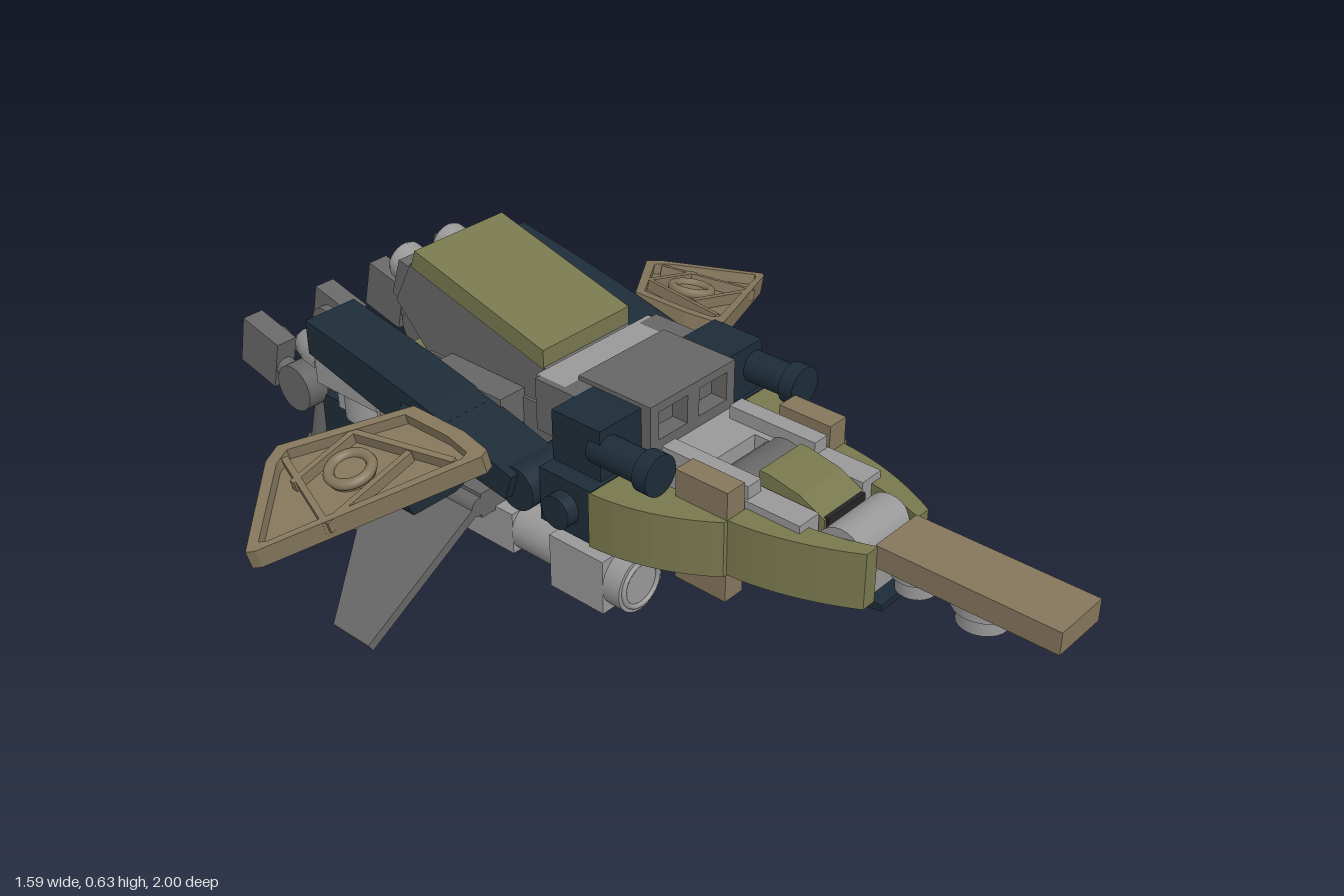
import * as THREE from 'three';

const mat = (color) => new THREE.MeshStandardMaterial({ color });

export function createModel() {
  const root = new THREE.Group();
  const olive = mat(0x77774e), tan = mat(0x84765c), navy = mat(0x1d2c38);
  const dark = mat(0x666666), light = mat(0x989898), black = mat(0x252525);

  const add = (name, geo, m, parent = root) => {
    const mesh = new THREE.Mesh(geo, m);
    mesh.name = name;
    parent.add(mesh);
    return mesh;
  };
  // box given by its ranges
  const box = (name, m, x0, x1, y0, y1, z0, z1, parent) => {
    const g = new THREE.BoxGeometry(Math.abs(x1 - x0), y1 - y0, Math.abs(z1 - z0));
    g.translate((x0 + x1) / 2, (y0 + y1) / 2, (z0 + z1) / 2);
    return add(name, g, m, parent);
  };
  // round rod between two points
  const rod = (name, m, a, b, r, parent = root) => {
    const p = new THREE.Vector3(...a), q = new THREE.Vector3(...b);
    const mesh = add(name, new THREE.CylinderGeometry(r, r, p.distanceTo(q), 24), m, parent);
    mesh.position.copy(p).lerp(q, 0.5);
    mesh.quaternion.setFromUnitVectors(new THREE.Vector3(0, 1, 0), q.sub(p).normalize());
    return mesh;
  };
  const poly = (pts) => new THREE.Shape(pts.map(([x, y]) => new THREE.Vector2(x, y)));
  const extrude = (shape, depth) => new THREE.ExtrudeGeometry(shape, { depth, bevelEnabled: false });
  // plan outline (x, z) raised from y0 to y1
  const plan = (name, m, pts, y0, y1, s = 1, parent = root, hole) => {
    const shape = poly(pts.map(([x, z]) => [x * s, -z]));
    if (hole) shape.holes.push(poly(hole.map(([x, z]) => [x * s, -z]).reverse()));
    return add(name, extrude(shape, y1 - y0).rotateX(-Math.PI / 2).translate(0, y0, 0), m, parent);
  };
  // side outline (z, y) spread from x0 to x1
  const side = (name, m, pts, x0, x1) =>
    add(name, extrude(poly(pts), Math.abs(x1 - x0)).rotateY(-Math.PI / 2).translate(Math.max(x0, x1), 0, 0), m);
  // sampled curve through a control point
  const bow = (a, c, b) => new THREE.QuadraticBezierCurve(new THREE.Vector2(...a), new THREE.Vector2(...c),
    new THREE.Vector2(...b)).getPoints(10).map((p) => [p.x, p.y]);

  // nose
  box('nosePlate', tan, -0.067, 0.067, 0.335, 0.385, 0.6, 1);
  for (const [z, r] of [[0.805, 0.065], [0.655, 0.054]]) {
    rod('noseStud', light, [0, 0.315, z], [0, 0.335, z], r);
    rod('noseStudTip', light, [0, 0.278, z], [0, 0.315, z], r - 0.012);
  }
  rod('noseHinge', light, [-0.08, 0.34, 0.53], [0.08, 0.34, 0.53], 0.055);
  box('noseBase', light, -0.06, 0.06, 0.27, 0.32, 0.1, 0.6);
  side('chinWedge', navy, [[0.62, 0.25], [0.36, 0.26], [0.36, 0.19], [0.62, 0.236]], -0.06, 0.06);
  side('noseSlope', olive, [[0.48, 0.385], [0.42, 0.415], [0.34, 0.43], [0.32, 0.43], [0.32, 0.33], [0.48, 0.33]], -0.065, 0.065);
  box('noseGap', black, -0.06, 0.06, 0.32, 0.388, 0.455, 0.485);
  rod('neckRoller', dark, [-0.085, 0.35, 0.27], [0.085, 0.35, 0.27], 0.06);
  box('neckBlock', light, -0.13, 0.13, 0.34, 0.4, 0.06, 0.2);
  box('bellyPlate', light, -0.14, 0.14, 0.2, 0.26, -0.06, 0.21);
  rod('chinJoint', navy, [0, 0.24, 0.2], [0, 0.24, 0.36], 0.055);
  rod('chinBall', light, [0, 0.15, -0.05], [0, 0.15, 0.1], 0.035);
  rod('bellyAxle', light, [-0.2, 0.13, 0.03], [0.2, 0.13, 0.03], 0.03);

  // cockpit with two window recesses in its front
  const face = poly([[-0.13, 0.385], [0.13, 0.385], [0.13, 0.51], [-0.13, 0.51]]);
  for (const s of [-1, 1]) {
    const [a, b] = s < 0 ? [-0.105, -0.018] : [0.018, 0.105];
    face.holes.push(poly([[a, 0.425], [a, 0.49], [b, 0.49], [b, 0.425]]));
  }
  add('cockpitFrame', extrude(face, 0.04).translate(0, 0, 0.055), dark);
  box('cockpitBlock', dark, -0.13, 0.13, 0.385, 0.51, -0.1, 0.055);
  box('cockpitRear', light, -0.17, 0.17, 0.4, 0.5, -0.18, -0.1);

  // central hull and raised hood
  box('hull', dark, -0.135, 0.135, 0.27, 0.4, -0.55, 0.06);
  box('hullSpine', navy, -0.22, 0.22, 0.25, 0.34, -0.47, -0.26);
  box('keel', dark, -0.1, 0.1, 0.14, 0.27, -0.42, -0.22);
  side('hoodBody', dark, [[-0.14, 0.38], [-0.16, 0.47], [-0.2, 0.49], [-0.6, 0.595], [-0.655, 0.49], [-0.55, 0.38]], -0.128, 0.128);
  side('hoodPanel', olive, [[-0.2, 0.53], [-0.58, 0.633], [-0.595, 0.59], [-0.2, 0.485]], -0.13, 0.13);
  side('tailBlock', dark, [[-0.59, 0.58], [-0.64, 0.59], [-0.67, 0.5], [-0.62, 0.48]], -0.125, 0.125);
  box('tailShelf', olive, -0.2, 0.2, 0.35, 0.395, -0.62, -0.48);

  for (const s of [-1, 1]) {
    const X = (x) => x * s;
    // curved front armour and rails
    plan('noseArmour', olive, [[0.065, 0.605], ...bow([0.1, 0.605], [0.175, 0.47], [0.185, 0.34]), [0.115, 0.34], [0.1, 0.48], [0.085, 0.55]], 0.255, 0.383, s);
    plan('cheekArmour', olive, [[0.14, 0.34], ...bow([0.195, 0.34], [0.285, 0.22], [0.292, 0.075]), [0.19, 0.075]], 0.255, 0.383, s);
    box('cheekPost', tan, X(0.135), X(0.187), 0.19, 0.445, 0.21, 0.34);
    box('noseRail', light, X(0.07), X(0.13), 0.34, 0.4, 0.1, 0.47);
    box('railClip', light, X(0.085), X(0.125), 0.4, 0.43, 0.12, 0.34);

    // cockpit shoulder pins
    rod('shoulderTube', navy, [X(0.225), 0.445, 0.04], [X(0.225), 0.445, 0.2], 0.035);
    rod('tubeCollar', navy, [X(0.225), 0.445, 0.17], [X(0.225), 0.445, 0.205], 0.045);
    box('shoulderBlock', navy, X(0.13), X(0.25), 0.385, 0.5, -0.06, 0.07);
    box('shoulderBase', navy, X(0.15), X(0.29), 0.26, 0.385, -0.06, 0.08);
    rod('shoulderPin', navy, [X(0.25), 0.32, 0.01], [X(0.32), 0.32, 0.01], 0.037);
    rod('hipPin', navy, [X(0.13), 0.32, -0.11], [X(0.31), 0.32, -0.11], 0.05);
    box('shoulderLink', dark, X(0.13), X(0.185), 0.38, 0.5, -0.17, -0.06);
    box('fairingRail', dark, X(0.13), X(0.2), 0.34, 0.42, -0.48, -0.26);

    // long side fairing and the half-round rocket behind it
    side('sideFairing', navy, [...bow([-0.1, 0.36], [-0.4, 0.445], [-0.72, 0.495]), [-0.72, 0.415], [-0.5, 0.36], [-0.12, 0.3]], X(0.195), X(0.33));
    const profile = [[0.058, 0], [0.05, 0.05], [0.03, 0.1], [0, 0.135]];
    const tip = new THREE.LatheGeometry(profile.map((p) => new THREE.Vector2(...p)), 16, -Math.PI / 2, Math.PI);
    add('rocketTip', tip.rotateX(-Math.PI / 2).translate(X(0.265), 0.385, -0.715), light);
    const flat = [...profile, ...profile.slice(0, 3).reverse().map(([r, d]) => [-r, d])];
    plan('rocketBase', light, flat.map(([r, d]) => [0.265 + r, -0.715 - d]), 0.376, 0.386, s);
    box('rocketMount', light, X(0.21), X(0.32), 0.34, 0.42, -0.715, -0.52);
    rod('mountDisc', light, [X(0.25), 0.24, -0.5], [X(0.25), 0.35, -0.5], 0.06);
    rod('mountDisc', light, [X(0.25), 0.27, -0.62], [X(0.25), 0.35, -0.62], 0.06);
    box('mountArm', light, X(0.12), X(0.28), 0.265, 0.31, -0.7, -0.42);

    // tail exhaust rings
    rod('exhaustTube', light, [X(0.065), 0.535, -0.62], [X(0.065), 0.553, -0.69], 0.045);
    const ring = add('exhaustRing', new THREE.TorusGeometry(0.033, 0.011, 8, 24), light);
    ring.position.set(X(0.065), 0.553, -0.69);
    ring.rotation.x = 0.26;
    rod('exhaustCore', dark, [X(0.065), 0.55, -0.68], [X(0.065), 0.556, -0.702], 0.018);

    // wing bracket
    const arm = poly([[0.2, 0.28], [0.31, 0.235], [0.43, 0.235], [0.475, 0.33], [0.44, 0.37], [0.36, 0.37], [0.33, 0.41], [0.2, 0.41]].map(([x, y]) => [x * s, y]));
    add('wingBracket', extrude(arm, 0.13).translate(0, 0, -0.42), navy);

    // drooping wing: floor, raised rim, ribs, ring and studs
    const wing = new THREE.Group();
    wing.name = 'wing';
    wing.position.set(X(0.328), 0.381, 0);
    wing.rotation.z = -0.26 * s;
    root.add(wing);
    const outline = [[0, -0.37], [0.235, -0.54], [0.28, -0.525], [0.472, -0.36], [0.46, -0.345], [0.035, -0.135], [0.015, -0.14], [0, -0.22]];
    const inset = outline.map(([x, z]) => [0.22 + (x - 0.22) * 0.87, -0.35 + (z + 0.35) * 0.85]);
    plan('wingFloor', tan, outline, 0, 0.02, s, wing);
    plan('wingRim', tan, outline, 0.02, 0.046, s, wing, inset);
    for (const [a, b] of [[[0.12, -0.43], [0.07, -0.18]], [[0.25, -0.5], [0.33, -0.28]], [[0.12, -0.43], [0.29, -0.43]], [[0.1, -0.28], [0.33, -0.28]]]) {
      const rib = box('wingRib', tan, -0.007, 0.007, 0.018, 0.045, 0, Math.hypot(b[0] - a[0], b[1] - a[1]), wing);
      rib.position.set(X(a[0]), 0, a[1]);
      rib.rotation.y = Math.atan2((b[0] - a[0]) * s, b[1] - a[1]);
    }
    rod('wingBoss', tan, [X(0.195), 0.015, -0.36], [X(0.195), 0.036, -0.36], 0.05, wing);
    const hub = add('wingHub', new THREE.TorusGeometry(0.045, 0.012, 8, 28).rotateX(Math.PI / 2), tan, wing);
    hub.position.set(X(0.195), 0.036, -0.36);
    for (const [x, z] of [[0.13, -0.36], [0.24, -0.36], [0.24, -0.46]])
      rod('wingStud', tan, [X(x), -0.03, z], [X(x), 0, z], 0.038, wing);

    // slanted lower fin
    const fin = plan('lowerFin', dark, [[0, -0.25], [0.365, -0.25], [0.365, -0.36], [0.1, -0.51], [0, -0.51]], -0.01, 0.012, s);
    fin.position.set(X(0.29), 0.197, 0);
    fin.rotation.z = -0.53 * s;
    rod('finHinge', dark, [X(0.285), 0.2, -0.5], [X(0.285), 0.2, -0.25], 0.022);
    box('finMount', dark, X(0.11), X(0.28), 0.17, 0.23, -0.48, -0.25);

    // belly cannon
    rod('cannonMuzzle', light, [X(0.185), 0.125, 0.07], [X(0.185), 0.125, 0.115], 0.066);
    const lip = add('cannonLip', new THREE.TorusGeometry(0.052, 0.006, 8, 28), light);
    lip.position.set(X(0.185), 0.125, 0.116);
    box('cannonBody', light, X(0.12), X(0.25), 0.06, 0.19, -0.08, 0.07);
    rod('cannonBarrel', light, [X(0.185), 0.13, -0.2], [X(0.185), 0.13, -0.08], 0.058);
    box('cannonStrut', light, X(0.13), X(0.24), 0.08, 0.18, -0.42, -0.2);

    // rear foot: two bowed shells around a grey core
    const shell = [...bow([0.245, -0.42], [0.36, -0.54], [0.368, -0.77]), [0.29, -0.77], [0.26, -0.6], [0.187, -0.44], [0.187, -0.42]];
    plan('outerFootShell', olive, shell, 0.01, 0.138, s);
    plan('innerFootShell', olive, shell.map(([x, z]) => [0.37 - x, z]), 0.01, 0.138, s);
    box('footCore', light, X(0.13), X(0.24), 0.04, 0.13, -0.68, -0.5);
    box('ankleBlock', navy, X(0.1), X(0.27), 0.14, 0.27, -0.77, -0.64);

    // rear claws and their linkage
    box('clawLink', dark, X(0.12), X(0.25), 0.24, 0.33, -0.86, -0.75);
    rod('clawAxle', dark, [X(0.06), 0.285, -0.81], [X(0.31), 0.285, -0.81], 0.035);
    for (const [x, inner] of [[0.082, 0.13], [0.29, 0.242]]) {
      const claw = box('claw', dark, -0.026, 0.026, -0.06, 0.06, -0.06, 0.06);
      claw.position.set(X(x), 0.335, -0.925);
      claw.rotation.x = 0.24;
      rod('clawPin', dark, [X(x), 0.335, -0.925], [X(inner), 0.335, -0.925], 0.038);
      rod('clawKnuckle', dark, [X(x - 0.026), 0.285, -0.81], [X(x + 0.026), 0.285, -0.81], 0.055);
      rod('clawNeck', dark, [X(x), 0.29, -0.8], [X(x), 0.32, -0.9], 0.024);
    }
    for (const x of [0.13, 0.24]) {
      rod('pegRod', dark, [X(x), 0.26, -0.8], [X(x), 0.1, -0.845], 0.018);
      add('pegBall', new THREE.SphereGeometry(0.031, 16, 12).translate(X(x), 0.09, -0.848), dark);
    }
  }
  return root;
}
